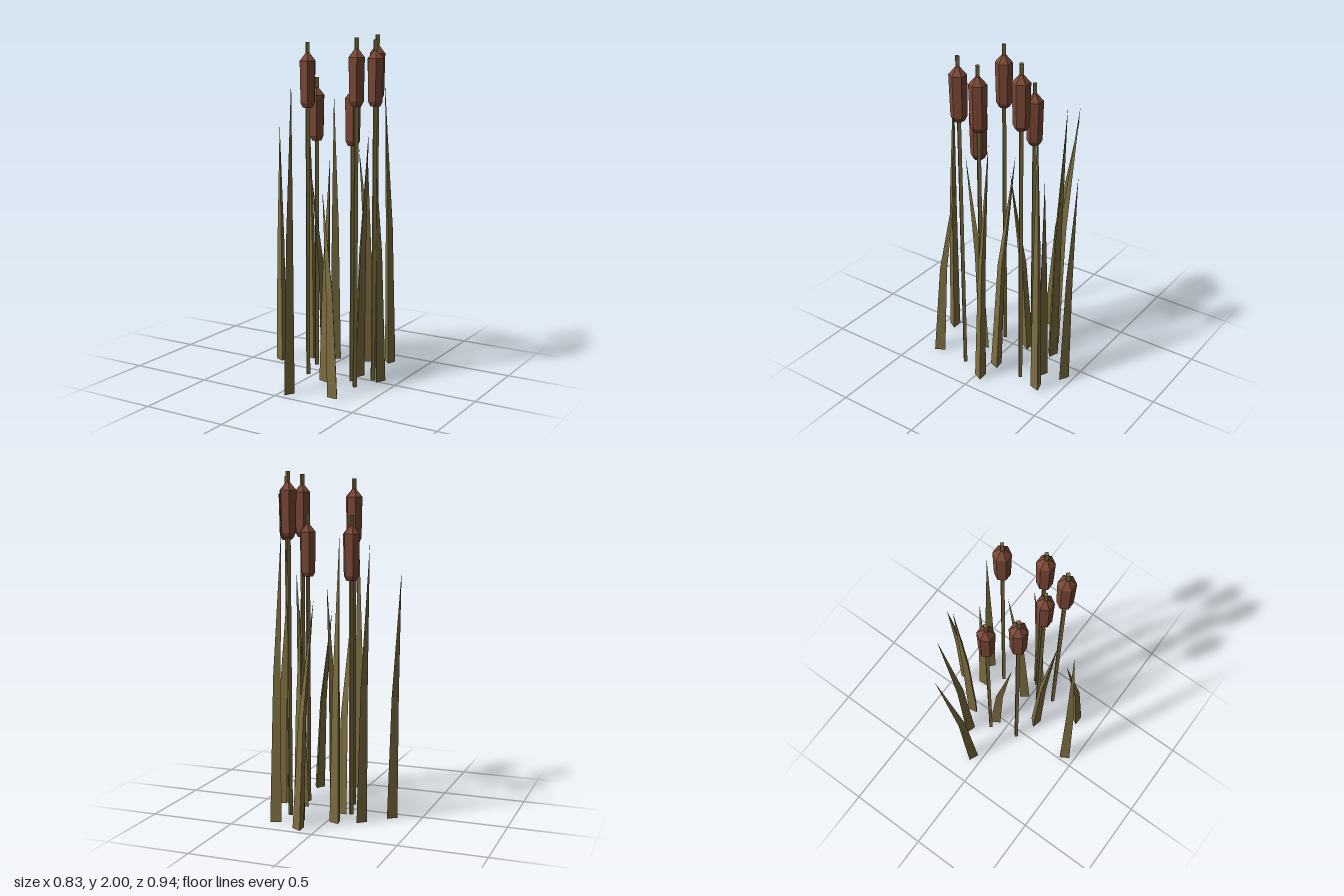
import * as THREE from 'three';

const leafMat = new THREE.MeshStandardMaterial({ color: 0x7d6e40, flatShading: true });
leafMat.name = 'olive';
const headMat = new THREE.MeshStandardMaterial({ color: 0x7a4836, flatShading: true });
headMat.name = 'russet';

// Three-sided blade: base triangle, smaller leaning triangle halfway up, pointed tip
function bladeGeometry(x, z, turn, tipX, tipZ, height) {
  const ring = (t, scale, y) => [0, 1, 2].map((i) => {
    const a = THREE.MathUtils.degToRad(turn + i * 120);
    const r = 0.0375 * scale;
    return [x + (tipX - x) * t + r * Math.cos(a), y, z + (tipZ - z) * t + r * Math.sin(a)];
  });
  const low = ring(0, 1, 0);
  const mid = ring(0.3, 0.66, height / 2);
  const tip = [tipX, height, tipZ];
  const faces = [low[0], low[1], low[2]];
  for (let i = 0; i < 3; i++) {
    const j = (i + 1) % 3;
    faces.push(low[i], mid[i], low[j], low[j], mid[i], mid[j], mid[i], tip, mid[j]);
  }
  const geo = new THREE.BufferGeometry();
  geo.setAttribute('position', new THREE.Float32BufferAttribute(faces.flat(), 3));
  geo.computeVertexNormals();
  return geo;
}

// Square stem with a six-sided seed head near its top
function createReed(x, z, top) {
  const reed = new THREE.Group();
  reed.name = 'reed';
  const stem = new THREE.Mesh(new THREE.CylinderGeometry(0.014, 0.014, top, 4), leafMat);
  stem.name = 'stem';
  stem.position.y = top / 2;
  const profile = [[0, -0.37], [0.032, -0.37], [0.046, -0.343], [0.051, -0.105], [0.012, -0.06], [0, -0.06]]
    .map(([r, y]) => new THREE.Vector2(r, y));
  const head = new THREE.Mesh(new THREE.LatheGeometry(profile, 6, Math.PI / 2), headMat);
  head.name = 'seedHead';
  head.position.y = top;
  reed.add(stem, head);
  reed.position.set(x, 0, z);
  return reed;
}

export function createModel() {
  const model = new THREE.Group();
  model.name = 'reedClump';

  // Reeds: x, z, top
  const reeds = [
    [0.245, -0.225, 2.0], [-0.085, -0.09, 1.755], [-0.037, 0.087, 1.96],
    [0.345, -0.017, 1.975], [0.245, 0.06, 1.755], [0.312, 0.14, 1.985],
  ];
  for (const r of reeds) model.add(createReed(...r));

  // Blades: base x, base z, turn in degrees, tip x, tip z, height
  const blades = [
    [0.104, -0.438, 0, 0.005, -0.443, 1.31],
    [-0.053, -0.258, -10, -0.093, -0.303, 1.66],
    [0.147, -0.313, -5, 0.139, -0.31, 1.3],
    [-0.183, -0.199, 48, -0.262, -0.283, 1.61],
    [-0.326, -0.066, 53, -0.415, -0.19, 1.46],
    [0.276, -0.362, -45, 0.243, -0.328, 1.7],
    [0.043, 0.432, -30, 0.043, 0.383, 1.77],
    [0.295, 0.35, 30, 0.178, 0.28, 1.155],
    [0.113, 0.136, 45, 0.181, 0.203, 1.33],
    [-0.03, -0.09, -30, -0.036, 0.045, 1.18],
    [0.235, -0.04, 82, 0.221, -0.171, 1.45],
    [0.382, -0.025, -33, 0.312, -0.056, 1.52],
  ];
  for (const b of blades) {
    const blade = new THREE.Mesh(bladeGeometry(...b), leafMat);
    blade.name = 'blade';
    model.add(blade);
  }
  return model;
}
